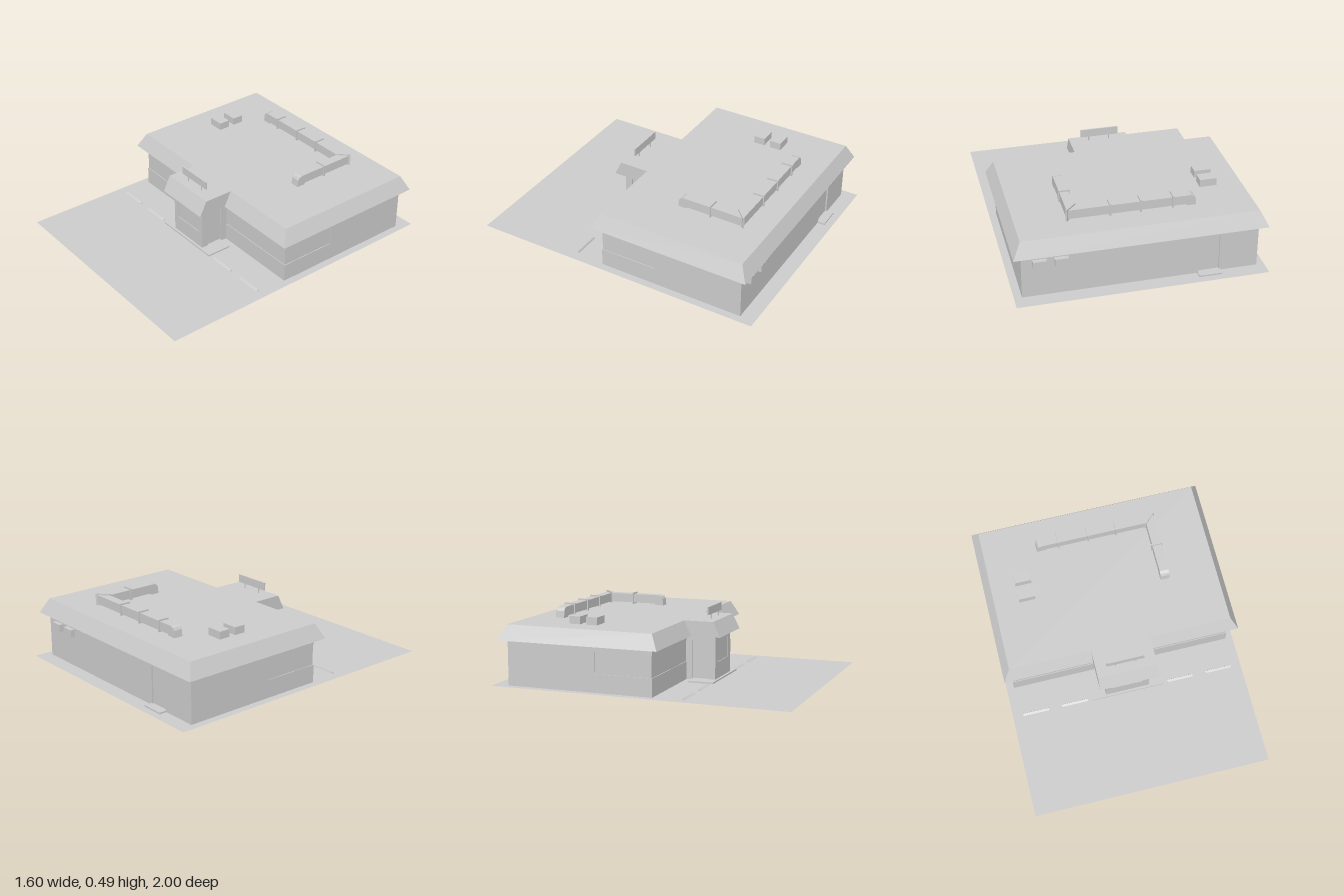
import * as THREE from 'three';

export function createModel() {
  const model = new THREE.Group();
  const mat = new THREE.MeshStandardMaterial({ color: 0xcccccc, flatShading: true });

  const add = (name, geo, material = mat) => {
    const mesh = new THREE.Mesh(geo, material);
    mesh.name = name;
    model.add(mesh);
    return mesh;
  };
  // Box given by its extents on each axis
  const box = (name, x0, x1, y0, y1, z0, z1) =>
    add(name, new THREE.BoxGeometry(x1 - x0, y1 - y0, z1 - z0)
      .translate((x0 + x1) / 2, (y0 + y1) / 2, (z0 + z1) / 2));
  const extrude = (pts, depth) => new THREE.ExtrudeGeometry(
    new THREE.Shape(pts.map(([x, y]) => new THREE.Vector2(x, y))), { depth, bevelEnabled: false });
  // Move the vertices of a geometry by a rule
  const reshape = (geo, rule) => {
    const p = geo.attributes.position;
    const v = new THREE.Vector3();
    for (let i = 0; i < p.count; i++) {
      rule(v.fromBufferAttribute(p, i));
      p.setXYZ(i, v.x, v.y, v.z);
    }
    geo.computeVertexNormals();
    return geo;
  };

  // Ground sheet
  const groundMat = mat.clone();
  groundMat.side = THREE.DoubleSide;
  add('ground', new THREE.PlaneGeometry(1.6, 2).rotateX(-Math.PI / 2), groundMat);

  // Walls: one floor plan per level, with recesses for windows and doors
  const wallLevel = (name, y0, y1, windows, doors) => {
    const half = [[0.75, -0.9]];
    if (windows) half.push([0.75, -0.29], [0.745, -0.29], [0.745, 0.095], [0.15, 0.095]);
    else half.push([0.75, 0.1], [0.15, 0.1]);
    if (doors) half.push([0.15, 0.14], [0.14, 0.14], [0.14, 0.25], [0.15, 0.25]);
    half.push([0.15, 0.3]);
    if (windows) half.push([0.11, 0.3], [0.11, 0.295]);
    const plan = [...half, ...half.map(([x, z]) => [-x, z]).reverse()];
    if (doors) plan.push([-0.5, -0.9], [-0.5, -0.89], [-0.37, -0.89], [-0.37, -0.9]);
    const geo = extrude(plan.map(([x, z]) => [x, -z]), y1 - y0);
    add(name, geo.rotateX(-Math.PI / 2).translate(0, y0, 0));
  };
  wallLevel('lowerWalls', 0, 0.12, false, true);
  wallLevel('windowBand', 0.12, 0.26, true, true);
  wallLevel('upperWalls', 0.26, 0.3, false, false);

  // Main roof, tapering on all four sides
  add('mainRoof', reshape(new THREE.BoxGeometry(1.6, 0.1, 1.1), (v) => {
    if (v.y > 0) { v.x *= 0.75 / 0.8; v.z *= 0.5 / 0.55; }
    v.y += 0.35;
    v.z -= 0.4;
  }));
  // Entrance roof, sloping at the front only
  add('entranceRoof', reshape(new THREE.BoxGeometry(0.4, 0.1, 0.25), (v) => {
    if (v.y > 0 && v.z > 0) v.z -= 0.05;
    v.y += 0.35;
    v.z += 0.225;
  }));

  // Steps and kerb stops
  box('entranceStep', -0.245, 0.245, 0, 0.01, 0.145, 0.317);
  box('backStep', -0.51, -0.36, 0, 0.01, -0.95, -0.89);
  for (const x of [-0.64, -0.37, 0.37, 0.64]) {
    const stop = extrude([[-0.009, 0], [-0.005, 0.01], [0.009, 0]], 0.18);
    add('parkingStop', stop.rotateY(-Math.PI / 2).translate(x + 0.09, 0, 0.303));
  }

  // Roof ducts: each leg is a straight run with one end bent down to the roof
  const duct = (length) => extrude([
    [0, 0], [0.005, 0.045], [0.015, 0.062], [0.035, 0.07], [length, 0.07],
    [length, 0.01], [0.07, 0.01], [0.06, 0.005], [0.06, 0]], 0.06);
  add('longDuct', duct(0.82).translate(-0.39, 0.4, -0.735));
  add('shortDuct', duct(0.4).rotateY(Math.PI / 2).translate(0.37, 0.4, -0.275));
  for (const x of [-0.24, -0.035, 0.16])
    box('ductFlange', x - 0.005, x + 0.005, 0.4, 0.48, -0.743, -0.667);
  box('ductFlange', 0.362, 0.438, 0.4, 0.48, -0.51, -0.5);
  // Raised mitre seam across the duct corner
  add('cornerFlange', new THREE.BoxGeometry(0.1, 0.08, 0.01)
    .rotateY(Math.PI / 4).translate(0.4, 0.44, -0.705));

  // Roof units and back wall units
  for (const z of [-0.54, -0.42]) box('roofUnit', -0.585, -0.475, 0.4, 0.45, z, z + 0.077);
  for (const x of [0.595, 0.46]) box('wallUnit', x, x + 0.085, 0.21, 0.26, -0.93, -0.9);

  // Blank sign board on posts
  box('signBoard', -0.13, 0.125, 0.432, 0.485, 0.235, 0.245);
  for (const x of [-0.07, 0.07]) box('signPost', x - 0.003, x + 0.003, 0.4, 0.435, 0.237, 0.243);

  return model;
}
